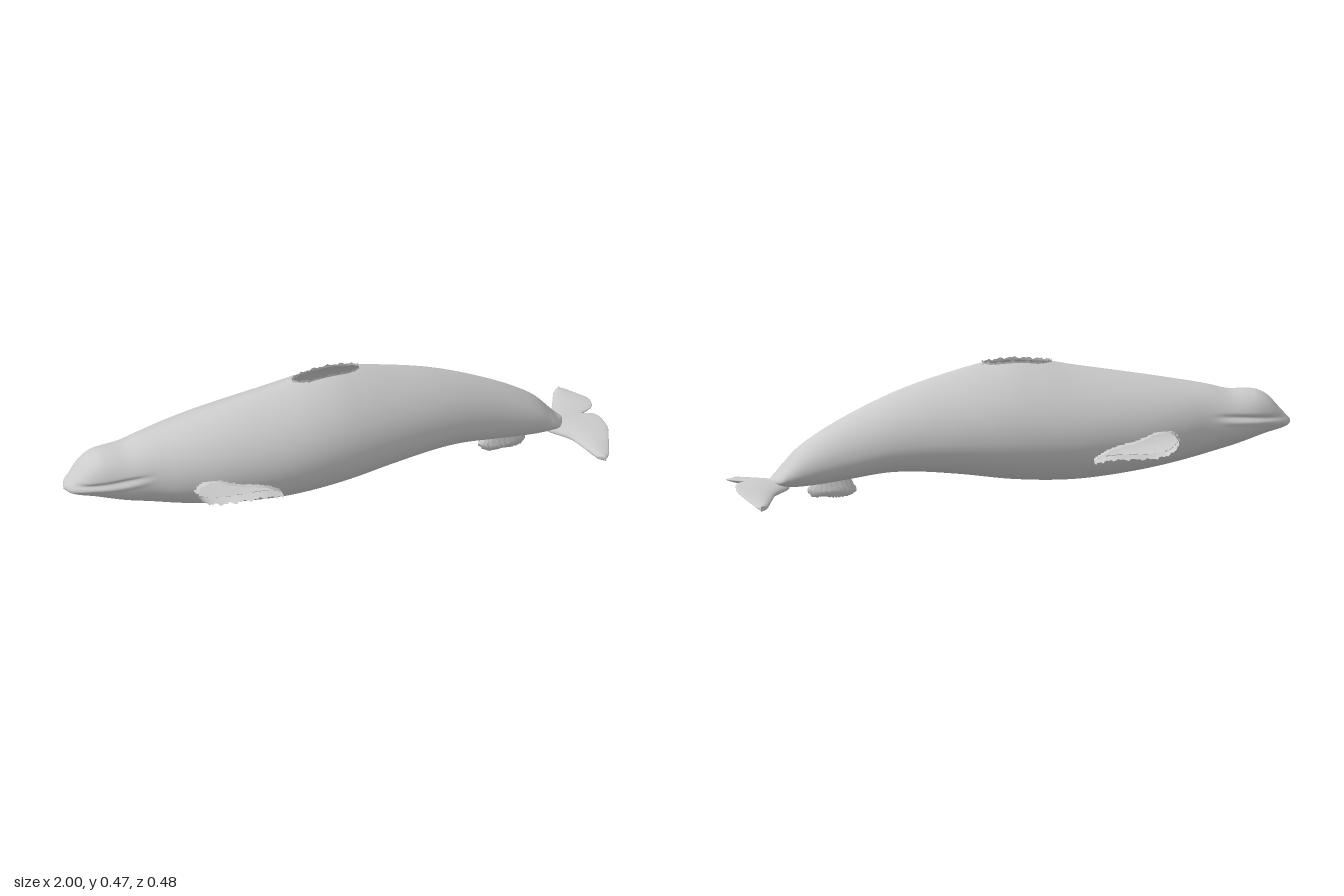
import * as THREE from 'three';
import { mergeVertices } from 'three/addons/utils/BufferGeometryUtils.js';

const material = new THREE.MeshStandardMaterial({ color: 0xcccccc, side: THREE.DoubleSide });

// Smooth curve through [position, value] pairs
function curve(points) {
  const f = new THREE.CubicInterpolant(points.map(p => p[0]), points.map(p => p[1]), 1);
  return x => f.evaluate(x)[0];
}

// Surface from rows of points; at(i, j) returns [x, y, z], skip leaves openings
function surface(name, rows, cols, at, skip = () => false) {
  const pos = [], index = [];
  for (let i = 0; i <= rows; i++)
    for (let j = 0; j <= cols; j++) pos.push(...at(i, j));
  const centre = [0, 0, 0];
  for (let i = 0; i < rows; i++)
    for (let j = 0; j < cols; j++) {
      const a = i * (cols + 1) + j, b = a + cols + 1;
      for (let k = 0; k < 3; k++)
        centre[k] = (pos[a * 3 + k] + pos[b * 3 + k] + pos[a * 3 + 3 + k] + pos[b * 3 + 3 + k]) / 4;
      if (!skip(...centre)) index.push(a, b, a + 1, b, b + 1, a + 1);
    }
  let g = new THREE.BufferGeometry();
  g.setAttribute('position', new THREE.Float32BufferAttribute(pos, 3));
  g.setIndex(index);
  g = mergeVertices(g, 1e-5);
  g.computeVertexNormals();
  const mesh = new THREE.Mesh(g, material);
  mesh.name = name;
  return mesh;
}

// Repeatable ragged variation in -1..1
const ragged = n => Math.sin(n * 2.3) * 0.5 + Math.sin(n * 5.1 + 1) * 0.5;

// Body profiles along x
const top = curve([[-1, 0.205], [-0.985, 0.222], [-0.95, 0.262], [-0.92, 0.295], [-0.88, 0.317], [-0.84, 0.322],
  [-0.78, 0.324], [-0.7, 0.345], [-0.6, 0.366], [-0.4, 0.405], [-0.2, 0.442], [-0.1, 0.463], [0, 0.473],
  [0.1, 0.46], [0.2, 0.436], [0.4, 0.374], [0.6, 0.283], [0.7, 0.225], [0.77, 0.173], [0.81, 0.128], [0.84, 0.092], [0.87, 0.07]]);
const bottom = curve([[-1, 0.195], [-0.98, 0.185], [-0.9, 0.163], [-0.8, 0.132], [-0.6, 0.083], [-0.4, 0.05], [-0.2, 0.034],
  [0, 0.043], [0.2, 0.07], [0.35, 0.084], [0.45, 0.084], [0.6, 0.063], [0.7, 0.05], [0.8, 0.046], [0.87, 0.06]]);
const width = curve([[-1, 0], [-0.99, 0.03], [-0.965, 0.055], [-0.9, 0.088], [-0.8, 0.114], [-0.7, 0.13], [-0.6, 0.157],
  [-0.5, 0.178], [-0.4, 0.191], [-0.2, 0.204], [0, 0.196], [0.2, 0.17], [0.4, 0.136], [0.6, 0.102], [0.8, 0.068], [0.84, 0.052], [0.87, 0]]);
const widest = curve([[-1, 0.4], [-0.6, 0.42], [-0.2, 0.4], [0, 0.38], [0.4, 0.38], [0.87, 0.45]]);
const taper = curve([[-1, 0.9], [-0.6, 1.1], [-0.2, 1.5], [0, 1.65], [0.4, 1.35], [0.87, 1]]);

function section(x) {
  const t = top(x), b = bottom(x), c = b + (t - b) * widest(x);
  return { c, up: t - c, down: c - b, w: Math.max(0, width(x)), p: taper(x) };
}
function flankZ(x, y) {
  const s = section(x), high = y > s.c;
  const sin = (y - s.c) / (high ? s.up : s.down);
  return s.w * Math.pow(Math.max(0, 1 - sin * sin), (high ? s.p : 0.85) / 2);
}
function backY(x, z) {
  const s = section(x), cos = Math.min(1, Math.pow(Math.abs(z) / s.w, 1 / s.p));
  return s.c + s.up * Math.sqrt(1 - cos * cos);
}

// Outlines of the fin openings
const finX0 = -0.57, finX1 = -0.26;
const finTop = curve([[-0.57, 0.185], [-0.555, 0.208], [-0.5, 0.222], [-0.42, 0.198], [-0.31, 0.17], [-0.26, 0.14]]);
const finLow = curve([[-0.57, 0.185], [-0.55, 0.16], [-0.5, 0.143], [-0.4, 0.145], [-0.32, 0.147], [-0.26, 0.137]]);
const dorsalZ = x => 0.031 * Math.pow(Math.max(0, 1 - Math.pow(Math.abs(x + 0.02) / 0.125, 3)), 0.5);
function inOpening(x, y, z) {
  if (x > finX0 && x < finX1 && Math.abs(z) > 0.08 && y < finTop(x) && y > finLow(x)) return true;
  return x > -0.145 && x < 0.105 && y > 0.35 && Math.abs(z) < dorsalZ(x);
}

function makeBody() {
  const rows = 230, cols = 160;
  return surface('body', rows, cols, (i, j) => {
    const u = i / rows;
    // Stations crowd together at the snout and the tail
    const x = -1 + 1.87 * (0.6 * u + 0.4 * (1 - Math.cos(Math.PI * u)) / 2);
    const a = (j % cols) / cols * Math.PI * 2, s = section(x);
    const sin = Math.sin(a), cos = Math.cos(a), high = sin > 0;
    const y = s.c + sin * (high ? s.up : s.down);
    let z = Math.sign(cos) * s.w * Math.pow(Math.abs(cos), high ? s.p : 0.85);
    // Mouth crease
    const fade = THREE.MathUtils.smoothstep(x, -1, -0.96) * (1 - THREE.MathUtils.smoothstep(x, -0.82, -0.68));
    const line = 0.222 + (x + 1) * 0.1;
    z *= 1 - fade * (0.09 * Math.exp(-(((y - line) / 0.008) ** 2)) - 0.04 * Math.exp(-(((y - line + 0.018) / 0.01) ** 2)));
    return [x, y, z];
  }, inOpening);
}

// Torn rim around a side opening, flaring outward and down
function makeSideRim(side) {
  const cols = 96;
  return surface(side > 0 ? 'leftFinRim' : 'rightFinRim', 4, cols, (i, j) => {
    const a = (j % cols) / cols * Math.PI * 2;
    const x = (finX0 + finX1) / 2 - Math.cos(a) * (finX1 - finX0) / 2;
    const y = Math.sin(a) >= 0 ? finTop(x) : finLow(x);
    const f = i / 4, lower = Math.sin(a) < 0 ? 1 : 0.45;
    const out = f * lower * (0.032 + 0.009 * ragged(j));
    return [x + out * 0.2, y - out * 0.35, side * (flankZ(x, y) - 0.002 + out)];
  });
}

// Low torn rim around the opening on the back
function makeDorsalRim() {
  const cols = 80;
  return surface('dorsalFinRim', 2, cols, (i, j) => {
    const a = (j % cols) / cols * Math.PI * 2;
    const x = -0.02 - Math.cos(a) * 0.125, z = Math.sign(Math.sin(a)) * dorsalZ(x);
    const y = backY(x, z);
    return [x, y - 0.002 + i / 2 * (0.009 + 0.005 * ragged(j)), z];
  });
}

// Torn stump beneath the tail: [height, scale] rings with an inward lip
function makeLowerStump() {
  const rings = [[0.075, 0.75], [0.045, 0.86], [0.032, 1], [0.02, 0.98], [0.008, 0.85], [0.005, 0.65], [0.02, 0.5]];
  const cols = 64;
  return surface('lowerStump', rings.length - 1, cols, (i, j) => {
    const k = j % cols, a = k / cols * Math.PI * 2, r = rings[i][1] + 0.05 * ragged(k + i * 3);
    return [0.64 + Math.cos(a) * 0.086 * r, Math.max(0, rings[i][0] + 0.006 * ragged(k * 1.3 + i)), Math.sin(a) * 0.034 * r];
  });
}

// Tail flukes: rounded sections across z, from tip to tip
function makeFlukes() {
  const lead = curve([[0, 0.79], [0.03, 0.8], [0.06, 0.828], [0.1, 0.862], [0.15, 0.885], [0.2, 0.906], [0.225, 0.92], [0.24, 0.942]]);
  const trail = curve([[0, 0.938], [0.012, 0.97], [0.03, 0.988], [0.06, 0.997], [0.1, 1], [0.15, 0.985], [0.2, 0.967], [0.225, 0.957], [0.24, 0.944]]);
  const rows = 80, cols = 32;
  return surface('flukes', rows, cols, (i, j) => {
    const z = 0.24 * Math.sin((i / rows - 0.5) * Math.PI), d = Math.abs(z);
    const a = -(j % cols) / cols * Math.PI * 2, l = lead(d), t = trail(d);
    const x = (l + t) / 2 + Math.cos(a) * (t - l) / 2;
    const thick = (0.017 - 0.035 * d) * (1 - 0.45 * Math.cos(a));
    return [x, 0.066 - 0.185 * d + 0.12 * (x - 0.93) + Math.sin(a) * thick, z];
  });
}

export function createModel() {
  const model = new THREE.Group();
  model.name = 'whale';
  model.add(makeBody(), makeSideRim(1), makeSideRim(-1), makeDorsalRim(), makeLowerStump(), makeFlukes());
  return model;
}
